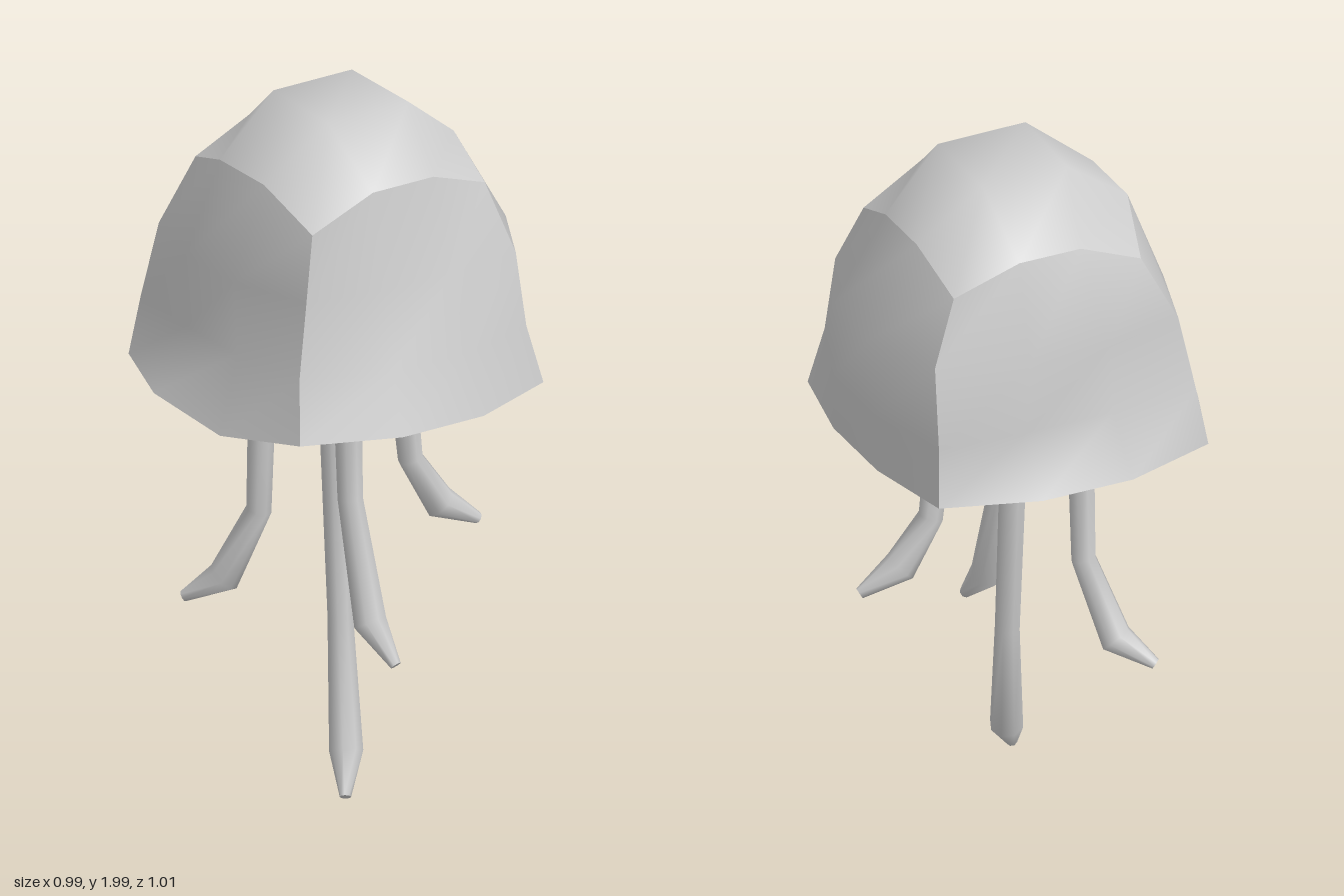
import * as THREE from 'three';

const material = new THREE.MeshStandardMaterial({ color: 0xcccccc });
const V = (x, y, z) => new THREE.Vector3(x, y, z);

// Smooth patch through rows of points; closed rows wrap around
function patch(name, rows, closed = false) {
  const n = rows[0].length, index = [];
  for (let r = 0; r < rows.length - 1; r++) {
    for (let c = 0; c < (closed ? n : n - 1); c++) {
      const a = r * n + c, b = r * n + (c + 1) % n;
      index.push(a, b, b + n, a, b + n, a + n);
    }
  }
  const geometry = new THREE.BufferGeometry().setFromPoints(rows.flat());
  geometry.setIndex(index);
  geometry.computeVertexNormals();
  const mesh = new THREE.Mesh(geometry, material);
  mesh.name = name;
  return mesh;
}

// Twelve-point ring: corners [x, z] front-left, front-right, back-right, back-left
// (as seen from the front), sides pushed out to [front z, right x, back z, left x]
function ring(y, corners, bulge, midY = y) {
  const points = [];
  for (let s = 0; s < 4; s++) {
    const [ax, az] = corners[s], [bx, bz] = corners[(s + 1) % 4];
    points.push(V(ax, y, az));
    for (const t of [1 / 3, 2 / 3]) {
      const x = THREE.MathUtils.lerp(ax, bx, t), z = THREE.MathUtils.lerp(az, bz, t);
      points.push(s % 2 ? V(bulge[s], midY, z) : V(x, midY, bulge[s]));
    }
  }
  return points;
}
const square = (y, r) => ring(y, [[-r, r], [r, r], [r, -r], [-r, -r]], [r, r, -r, -r]);
const sideOf = (points, s) => [0, 1, 2, 3].map(i => points[(s * 3 + i) % 12]);
const topGrid = (p, inner) => [
  [p[0], p[1], p[2], p[3]],
  [p[11], inner[0], inner[1], p[4]],
  [p[10], inner[3], inner[2], p[5]],
  [p[9], p[8], p[7], p[6]],
];

function createBell() {
  const bell = new THREE.Group();
  bell.name = 'bell';
  const rings = [
    ring(1.19, [[-0.38, 0.395], [0.43, 0.395], [0.43, -0.42], [-0.4, -0.415]], [0.5, 0.485, -0.507, -0.5]),
    ring(1.36, [[-0.345, 0.34], [0.39, 0.37], [0.42, -0.4], [-0.37, -0.4]], [0.44, 0.49, -0.415, -0.385]),
    ring(1.58, [[-0.315, 0.33], [0.365, 0.355], [0.4, -0.335], [-0.33, -0.37]], [0.375, 0.488, -0.435, -0.4]),
    ring(1.77, [[-0.285, 0.315], [0.32, 0.27], [0.33, -0.31], [-0.235, -0.33]], [0.315, 0.348, -0.338, -0.3], 1.85),
  ];
  rings[0][11].set(-0.46, 1.145, 0.12); // drooping hem

  // Outer walls, each smooth with sharp edges between them
  ['frontWall', 'leftWall', 'backWall', 'rightWall'].forEach((name, s) =>
    bell.add(patch(name, rings.map(r => sideOf(r, s)))));

  // Crown
  const crown = [V(-0.11, 2, 0.135), V(0.16, 2, 0.13), V(0.16, 2, -0.145), V(-0.1, 2, -0.145)];
  bell.add(patch('crown', topGrid(rings[3], crown)));

  // Underside rim and hollow
  const mouth = square(1.19, 0.26), hollowTop = square(1.6, 0.23);
  bell.add(patch('rim', [mouth, rings[0]], true));
  for (let s = 0; s < 4; s++) {
    bell.add(patch('hollowWall', [sideOf(hollowTop, s), sideOf(mouth, s)]));
  }
  const ceiling = [[-1, 1], [1, 1], [1, -1], [-1, -1]].map(([x, z]) => V(x * 0.077, 1.6, z * 0.077));
  bell.add(patch('hollowCeiling', topGrid(hollowTop, ceiling).reverse()));
  return bell;
}

// Tentacle swept along a bent path with a radius at each joint
function createTentacle(name, path, radii, sides = 8) {
  const group = new THREE.Group();
  group.name = name;
  const joints = path.map(p => V(...p));
  const rows = joints.map((p, i) => {
    const before = joints[Math.max(i - 1, 0)], after = joints[Math.min(i + 1, joints.length - 1)];
    const d1 = p.clone().sub(before).normalize(), d2 = after.clone().sub(p).normalize();
    const dir = d1.add(d2).normalize();
    const turn = new THREE.Quaternion().setFromUnitVectors(V(0, -1, 0), dir);
    return Array.from({ length: sides }, (_, k) => {
      const a = k / sides * Math.PI * 2;
      return V(Math.cos(a), 0, -Math.sin(a)).multiplyScalar(radii[i]).applyQuaternion(turn).add(p);
    });
  }).reverse();
  group.add(patch('arm', rows, true));
  // Blunt tip
  const tip = rows[0];
  group.add(patch('tip', [tip.map(() => joints.at(-1).clone()), tip], true));
  return group;
}

export function createModel() {
  const model = new THREE.Group();
  model.name = 'jellyfish';
  model.add(createBell());
  const radii = [0.042, 0.04, 0.036, 0.048, 0.016];
  const paths = {
    backTentacle: [[-0.145, 1.6, -0.125], [-0.147, 1.19, -0.13], [-0.15, 0.76, -0.145], [-0.205, 0.54, -0.235], [-0.29, 0.475, -0.31]],
    longTentacle: [[-0.045, 1.6, 0.03], [-0.03, 1.19, 0.035], [-0.015, 0.48, 0.055], [-0.06, 0.12, 0.15], [-0.11, 0.018, 0.22]],
    frontTentacle: [[-0.065, 1.6, 0.16], [-0.065, 1.19, 0.163], [-0.06, 0.88, 0.17], [-0.055, 0.54, 0.26], [-0.032, 0.438, 0.352]],
    leftTentacle: [[0.19, 1.6, 0.035], [0.197, 1.19, 0.037], [0.225, 0.89, 0.045], [0.31, 0.745, 0.062], [0.425, 0.677, 0.083]],
  };
  for (const [name, path] of Object.entries(paths)) model.add(createTentacle(name, path, radii));
  return model;
}
